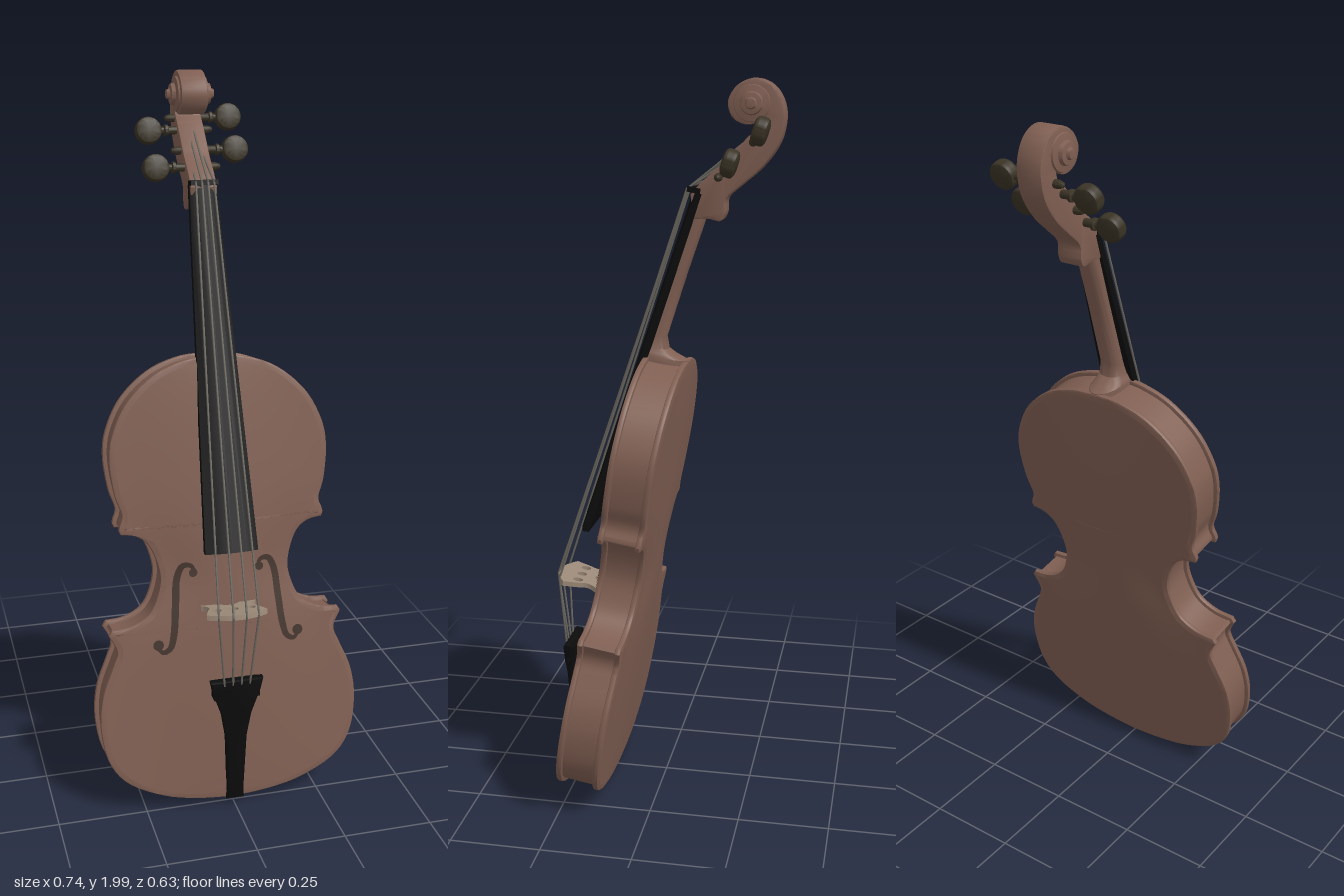
import * as THREE from 'three';
import { toCreasedNormals } from 'three/addons/utils/BufferGeometryUtils.js';

const mat = (name, color, side = THREE.FrontSide) => {
  const m = new THREE.MeshStandardMaterial({ color, side });
  m.name = name;
  return m;
};
const V = (x, y, z) => new THREE.Vector3(x, y, z);
const TILT = 0.17, BASE_Y = 0.01, BASE_Z = 0.15;
const LENGTH = 1.26, FRONT = 0.12;

// Outline of half the body, top to bottom, split at its corners: [x, height]
const OUTLINE = [
  [[0, 1.26], [0.08, 1.254], [0.17, 1.22], [0.25, 1.15], [0.295, 1.065], [0.307, 0.99], [0.297, 0.9], [0.28, 0.845], [0.288, 0.815], [0.291, 0.803]],
  [[0.286, 0.79], [0.24, 0.78], [0.205, 0.745], [0.183, 0.67], [0.193, 0.61], [0.22, 0.56], [0.27, 0.532], [0.325, 0.526]],
  [[0.334, 0.511], [0.313, 0.465], [0.328, 0.42], [0.36, 0.34], [0.37, 0.25], [0.352, 0.15], [0.3, 0.08], [0.2, 0.03], [0.1, 0.008], [0, 0]],
];
const HALF = OUTLINE.flatMap((seg) =>
  new THREE.SplineCurve(seg.map((p) => new THREE.Vector2(...p))).getPoints(seg.length * 4));

// Whole outline, moved inward by d
function outline(d) {
  const loop = [...HALF, ...HALF.slice(1, -1).reverse().map((p) => new THREE.Vector2(-p.x, p.y))];
  const n = loop.length;
  return loop.map((p, i) => {
    const t = loop[(i + 1) % n].clone().sub(loop[(i + n - 1) % n]).normalize();
    return new THREE.Vector2(p.x + t.y * d, p.y - t.x * d);
  });
}

// Height of the arching over the body edge
function arch(x, t, h) {
  const w = 0.36 - 0.055 * t - 0.155 * Math.exp(-(((t - 0.66) / 0.14) ** 2));
  const k = Math.max(0, 1 - (x / w) ** 2);
  return h * k * k * Math.sqrt(Math.sin(Math.PI * Math.min(Math.max(t / LENGTH, 0), 1)));
}

// Arched face of a plate; dir is 1 for the front and -1 for the back
function archedFace(level, dir, h) {
  const rows = outline(0.016).slice(0, HALF.length), cols = 20, pos = [], idx = [];
  rows.forEach((p, i) => {
    for (let j = 0; j <= cols; j++) {
      const x = Math.max(p.x, 0) * (2 * j / cols - 1);
      pos.push(x, p.y, level + dir * (0.002 + arch(x, p.y, h)));
      if (i < rows.length - 1 && j < cols) {
        const a = i * (cols + 1) + j, b = a + cols + 1;
        if (dir > 0) idx.push(a, b, a + 1, b, b + 1, a + 1);
        else idx.push(a, a + 1, b, b, a + 1, b + 1);
      }
    }
  });
  return buffer(pos, idx);
}

function buffer(pos, idx) {
  const g = new THREE.BufferGeometry();
  g.setAttribute('position', new THREE.Float32BufferAttribute(pos, 3));
  g.setIndex(idx);
  g.computeVertexNormals();
  return g;
}

// Solid through closed rings of points stacked upward
function loft(rings) {
  const n = rings[0].length, last = (rings.length - 1) * n, idx = [];
  for (let k = 0; k < rings.length - 1; k++)
    for (let i = 0; i < n; i++) {
      const a = k * n + i, b = k * n + (i + 1) % n;
      idx.push(a, b, a + n, b, b + n, a + n);
    }
  for (let i = 1; i < n - 1; i++) idx.push(0, i + 1, i, last, last + i, last + i + 1);
  return toCreasedNormals(buffer(rings.flat(2), idx), 0.6);
}

function extrude(shape, depth, bevel = 0) {
  return toCreasedNormals(new THREE.ExtrudeGeometry(shape, {
    depth: depth - 2 * bevel, bevelEnabled: bevel > 0, bevelSize: bevel, bevelThickness: bevel,
    bevelOffset: -bevel, bevelSegments: 2, curveSegments: 10,
  }).translate(0, 0, bevel), 0.6);
}

function rod(a, b, r) {
  const d = b.clone().sub(a);
  const g = new THREE.CylinderGeometry(r, r, d.length(), 6);
  g.applyQuaternion(new THREE.Quaternion().setFromUnitVectors(V(0, 1, 0), d.normalize()));
  return g.translate(...a.clone().add(b).multiplyScalar(0.5).toArray());
}

export function createModel() {
  const wood = mat('brown wood', 0x805f52), ebony = mat('black ebony', 0x0c0c0c);
  const pegWood = mat('dark peg wood', 0x3a3325), maple = mat('pale bridge wood', 0x9c8a78);
  const steel = mat('grey string', 0x6c6860), hole = mat('sound hole brown', 0x43342d, THREE.DoubleSide);
  const model = new THREE.Group(), body = new THREE.Group();
  model.name = 'violin';
  body.name = 'tiltedBody';
  body.rotation.x = -TILT;
  body.position.set(0, BASE_Y, BASE_Z);
  model.add(body);
  const add = (parent, name, geo, m) => {
    const mesh = new THREE.Mesh(geo, m);
    mesh.name = name;
    parent.add(mesh);
    return mesh;
  };

  // Sound box
  const edge = new THREE.Shape(outline(0)), rib = new THREE.Shape(outline(0.012));
  add(body, 'ribs', extrude(rib, 0.1).translate(0, 0, 0.01), wood);
  add(body, 'backPlate', extrude(edge, 0.016, 0.005), wood);
  add(body, 'frontPlate', extrude(edge, 0.016, 0.005).translate(0, 0, FRONT - 0.016), wood);
  add(body, 'frontArch', archedFace(FRONT, 1, 0.02), wood);
  add(body, 'backArch', archedFace(0, -1, 0.013), wood);

  // Sound holes laid on the arching
  const drape = (x, t) => FRONT + 0.005 + arch(x, t, 0.02);
  const fCurve = new THREE.CatmullRomCurve3([[0.088, 0.672], [0.1, 0.69], [0.122, 0.69], [0.138, 0.66],
    [0.147, 0.58], [0.156, 0.5], [0.168, 0.462], [0.188, 0.452], [0.206, 0.472]].map((p) => V(p[0], p[1], 0)));
  for (const s of [1, -1]) {
    const pos = [], idx = [], n = 40;
    for (let i = 0; i <= n; i++) {
      const p = fCurve.getPoint(i / n), d = fCurve.getTangent(i / n);
      const w = 0.004 + 0.006 * Math.sin(Math.PI * i / n);
      for (const e of [-w, w]) {
        const x = s * (p.x - d.y * e), t = p.y + d.x * e;
        pos.push(x, t, drape(x, t));
      }
      if (i < n) idx.push(2 * i, 2 * i + 1, 2 * i + 2, 2 * i + 1, 2 * i + 3, 2 * i + 2);
    }
    const g = buffer(pos, idx);
    if (g.attributes.normal.getZ(0) < 0) {
      g.setIndex(idx.slice().reverse());
      g.computeVertexNormals();
    }
    add(body, 'soundHole', g, hole);
    for (const [x, t, r] of [[0.094, 0.67, 0.012], [0.2, 0.474, 0.015]])
      add(body, 'soundHoleEye', new THREE.CircleGeometry(r, 16).translate(s * x, t, drape(x, t) + 0.001), hole);
  }

  // Neck and heel: [height, back depth, half width]
  const boardTop = (t) => 0.07 + (1.714 - t) * 0.15;
  const neck = [[1.245, -0.001, 0.045], [1.262, 0.002, 0.045], [1.272, 0.035, 0.041], [1.284, 0.06, 0.037],
    [1.317, 0.072, 0.034], [1.5, 0.046, 0.032], [1.65, 0.022, 0.032], [1.71, 0.016, 0.032]];
  add(body, 'neck', loft(neck.map(([t, back, w]) => {
    const f = boardTop(t) - 0.026;
    return Array.from({ length: 13 }, (_, i) => {
      const a = Math.PI * i / 12;
      return [w * Math.cos(a), t, f - (f - back) * Math.sin(a) ** 0.6];
    });
  })), wood);

  // Fingerboard with a curved top, and nut
  add(body, 'fingerboard', loft([[0.734, 0.074], [1.714, 0.038]].map(([t, w]) => {
    const n = boardTop(t);
    return [[w, t, n - 0.012], [w, t, n - 0.03], [-w, t, n - 0.03], [-w, t, n - 0.012],
      [-w * 0.55, t, n - 0.003], [0, t, n], [w * 0.55, t, n - 0.003]];
  })), ebony);
  add(body, 'nut', new THREE.BoxGeometry(0.076, 0.014, 0.036).translate(0, 1.72, 0.063), ebony);

  // Bridge with feet and cut-outs
  const bridge = new THREE.Shape();
  bridge.moveTo(0.08, 0.128);
  bridge.lineTo(0.078, 0.142);
  bridge.quadraticCurveTo(0.05, 0.165, 0.07, 0.19);
  bridge.lineTo(0.085, 0.235);
  bridge.quadraticCurveTo(0, 0.295, -0.085, 0.235);
  bridge.lineTo(-0.07, 0.19);
  bridge.quadraticCurveTo(-0.05, 0.165, -0.078, 0.142);
  bridge.lineTo(-0.08, 0.128);
  bridge.lineTo(-0.04, 0.128);
  bridge.quadraticCurveTo(0, 0.19, 0.04, 0.128);
  for (const x of [-0.048, 0, 0.048])
    bridge.holes.push(new THREE.Path().absellipse(x, 0.2, 0.013, 0.014, 0, Math.PI * 2));
  add(body, 'bridge', extrude(bridge, 0.014).rotateX(Math.PI / 2).translate(0, 0.575, 0), maple);

  // Tailpiece and saddle
  const tail = [[0.024, 0], [0.024, 0.05], [0.03, 0.2], [0.042, 0.27], [0.068, 0.345], [0.075, 0.378]];
  const tailShape = new THREE.Shape([...tail, ...tail.slice().reverse().map(([x, y]) => [-x, y])]
    .map((p) => new THREE.Vector2(...p)));
  const tailpiece = add(body, 'tailpiece', extrude(tailShape, 0.022, 0.004), ebony);
  tailpiece.position.set(0, 0.006, 0.112);
  tailpiece.rotation.x = 0.197;
  const bar = add(body, 'tailpieceBar', new THREE.BoxGeometry(0.13, 0.05, 0.03), ebony);
  bar.position.set(0, 0.345, 0.186);
  bar.rotation.x = 0.197;
  add(body, 'saddle', new THREE.BoxGeometry(0.05, 0.03, 0.03).translate(0, 0.016, 0.115), ebony);

  // Pegbox and scroll, a side profile given as [z, y]
  const back = [[-0.075, 1.64], [-0.115, 1.642], [-0.15, 1.636], [-0.163, 1.66], [-0.166, 1.695], [-0.205, 1.73],
    [-0.257, 1.775], [-0.3, 1.835], [-0.315, 1.9], [-0.305, 1.95], [-0.278, 1.985], [-0.235, 2],
    [-0.19, 1.982], [-0.166, 1.942], [-0.178, 1.902], [-0.21, 1.884], [-0.24, 1.888], [-0.258, 1.905]];
  const front = [[-0.25, 1.88], [-0.222, 1.855], [-0.183, 1.815], [-0.15, 1.78], [-0.1, 1.738], [-0.07, 1.705]];
  const toShape = (pts) => new THREE.SplineCurve(pts.map(([z, y]) => new THREE.Vector2(-z, y))).getPoints(pts.length * 4);
  add(model, 'pegboxAndScroll', extrude(new THREE.Shape([...toShape(back), ...toShape(front)]), 0.074, 0.005)
    .translate(0, 0, -0.037).rotateY(Math.PI / 2), wood);
  for (const s of [1, -1]) {
    const ear = [[0.05, 0.03], [0.046, 0.042], [0.03, 0.045], [0.027, 0.055], [0.015, 0.057], [0.012, 0.066], [0, 0.068]];
    const g = new THREE.LatheGeometry(ear.map((p) => new THREE.Vector2(...p)), 24);
    add(model, 'scrollEar', toCreasedNormals(g, 0.5).rotateZ(-s * Math.PI / 2).translate(0, 1.937, -0.229)
      .translate(s * 0.0, 0, 0), wood);
  }

  // Tuning pegs: [z, y, side of the grip]
  const pegs = [[-0.145, 1.75, -1], [-0.185, 1.79, 1], [-0.235, 1.84, -1], [-0.262, 1.87, 1]];
  const shaft = [[0, -0.066], [0.007, -0.062], [0.011, -0.05], [0.011, 0.06], [0.016, 0.062], [0.016, 0.07],
    [0.01, 0.073], [0.01, 0.09]].map((p) => new THREE.Vector2(...p));
  const grip = [[0, -0.016], [0.026, -0.019], [0.034, -0.015], [0.037, -0.008], [0.037, 0.008], [0.034, 0.015],
    [0.026, 0.019], [0, 0.016]].map((p) => new THREE.Vector2(...p));
  for (const [z, y, s] of pegs) {
    const peg = new THREE.Group();
    peg.name = 'tuningPeg';
    peg.position.set(0, y, z);
    peg.rotation.x = -0.3;
    add(peg, 'pegShaft', toCreasedNormals(new THREE.LatheGeometry(shaft, 14), 0.6).rotateZ(-s * Math.PI / 2), pegWood);
    add(peg, 'pegGrip', toCreasedNormals(new THREE.LatheGeometry(grip, 24), 0.6).rotateX(Math.PI / 2)
      .translate(s * 0.116, 0, 0), pegWood);
    model.add(peg);
  }

  // Strings from tailpiece over bridge and nut to the pegs
  const order = [0, 2, 3, 1], c = Math.cos(TILT), sn = Math.sin(TILT);
  for (let i = 0; i < 4; i++) {
    const u = (i - 1.5) / 1.5, [pz, py] = pegs[order[i]];
    const dy = py - BASE_Y, dz = pz - BASE_Z;
    const path = [V(u * 0.036, 0.36, 0.204), V(u * 0.056, 0.568, 0.267 - 0.014 * u * u),
      V(u * 0.025, 1.72, 0.083), V(u * 0.018, dy * c - dz * sn, dy * sn + dz * c + 0.012)];
    for (let k = 0; k < 3; k++) add(body, 'string', rod(path[k], path[k + 1], 0.003), steel);
  }
  return model;
}
